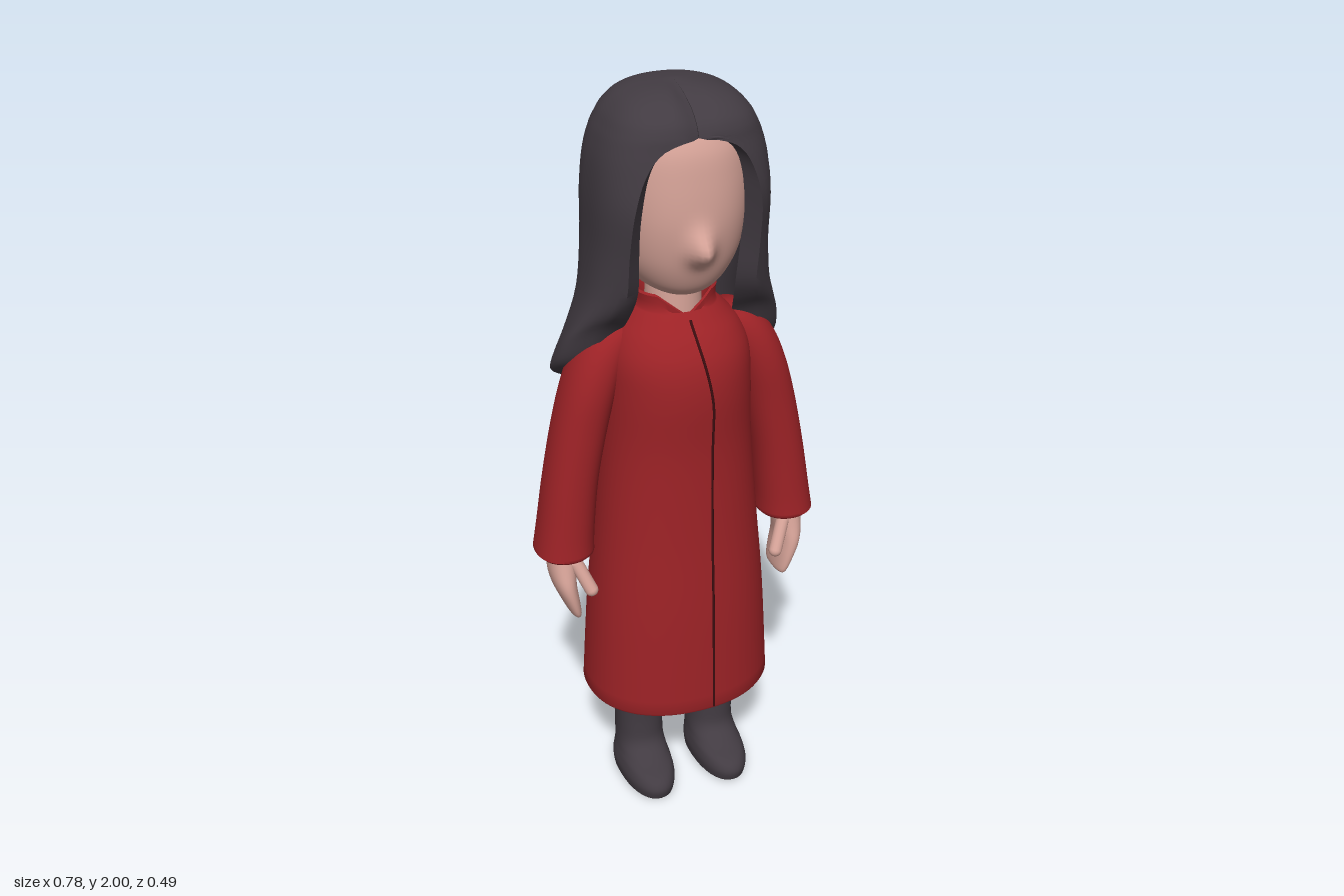
import * as THREE from 'three';
import { toCreasedNormals } from 'three/addons/utils/BufferGeometryUtils.js';

// Point on a rounded cross-section; a = 0 faces the front, then turns towards +x.
function ringPoint(a, rx, zc, zf, zb, nFront = 2.2, nBack = 2.2) {
  const s = Math.sin(a), c = Math.cos(a), n = c > 0 ? nFront : nBack;
  const r = Math.pow(Math.abs(s) ** n + Math.abs(c) ** n, -1 / n);
  return [rx * r * s, zc + r * c * (c > 0 ? zf - zc : zc - zb)];
}

// Refine a table of cross-section values with a Catmull-Rom spline.
function smooth(rows, steps = 5) {
  const out = [];
  for (let i = 0; i < rows.length - 1; i++) {
    const p = rows[Math.max(i - 1, 0)], q = rows[i], r = rows[i + 1], s = rows[Math.min(i + 2, rows.length - 1)];
    for (let k = 0; k < steps; k++) {
      const t = k / steps;
      out.push(q.map((v, j) => {
        const c1 = r[j] - p[j];
        const c2 = 2 * p[j] - 5 * v + 4 * r[j] - s[j];
        const c3 = 3 * (v - r[j]) + s[j] - p[j];
        return v + 0.5 * t * (c1 + t * (c2 + t * c3));
      }));
    }
  }
  out.push(rows[rows.length - 1]);
  return out;
}

// Skin closed loops of points, listed from bottom to top.
function loft(loops, capBottom = true, capTop = true, crease = 0.9) {
  const n = loops[0].length, pos = loops.flat(2), idx = [];
  for (let i = 0; i < loops.length - 1; i++) {
    for (let j = 0; j < n; j++) {
      const a = i * n + j, b = i * n + (j + 1) % n;
      idx.push(a, b, a + n, b, b + n, a + n);
    }
  }
  const cap = (i, flip) => {
    const c = pos.length / 3;
    for (let k = 0; k < 3; k++) pos.push(loops[i].reduce((sum, p) => sum + p[k], 0) / n);
    for (let j = 0; j < n; j++) {
      const a = i * n + j, b = i * n + (j + 1) % n;
      idx.push(c, flip ? b : a, flip ? a : b);
    }
  };
  if (capBottom) cap(0, true);
  if (capTop) cap(loops.length - 1, false);
  const g = new THREE.BufferGeometry();
  g.setAttribute('position', new THREE.Float32BufferAttribute(pos, 3));
  g.setIndex(idx);
  // Enlarged while creasing, so that close vertices stay distinct
  return toCreasedNormals(g.scale(100, 100, 100), crease).scale(0.01, 0.01, 0.01);
}

// Rows are [y, centre x, half width, centre z, front z, back z].
function body(rows, side = 1, n = 40, shape = (p) => p) {
  return rows.map(([y, xc, rx, zc, zf, zb]) => Array.from({ length: n }, (_, j) => {
    const [x, z] = ringPoint((j / n) * Math.PI * 2, rx, zc, zf, zb);
    return shape([x + xc * side, y, z]);
  }));
}

export function createModel() {
  const model = new THREE.Group();
  model.name = 'womanInCoat';
  const material = (name, color) => Object.assign(new THREE.MeshStandardMaterial({ color }), { name });
  const skin = material('skin', 0xd6a398);
  const red = material('coatRed', 0x9c2226);
  const seamRed = material('seamDarkRed', 0x3c0d10);
  const charcoal = material('charcoal', 0x423b42);
  const add = (name, geometry, mat) => {
    const m = new THREE.Mesh(geometry, mat);
    m.name = name;
    model.add(m);
    return m;
  };

  // Head with a soft nose
  const headRows = smooth([
    [1.492, 0, 0.02, 0.06, 0.09, 0.04], [1.51, 0, 0.075, 0.03, 0.13, -0.04],
    [1.545, 0, 0.12, 0.01, 0.158, -0.1], [1.61, 0, 0.156, 0, 0.182, -0.14],
    [1.7, 0, 0.172, 0, 0.196, -0.16], [1.8, 0, 0.175, 0, 0.192, -0.16],
    [1.88, 0, 0.162, 0, 0.178, -0.14], [1.93, 0, 0.125, 0, 0.14, -0.1], [1.955, 0, 0.03, 0, 0.04, -0.03],
  ], 7);
  const noseBump = ([x, y, z]) => {
    const dy = y - 1.64, spread = dy > 0 ? 0.045 : 0.032;
    const bump = Math.exp(-((x / 0.03) ** 2 + (dy / spread) ** 2));
    return [x, y, z > 0 ? z + 0.052 * bump : z];
  };
  add('head', loft(body(headRows, 1, 88, noseBump), true, true, 1.5), skin);
  const neck = add('neck', new THREE.CylinderGeometry(0.066, 0.075, 0.2, 32), skin);
  neck.position.set(0, 1.47, 0.005);

  // Hair: a shell open around the face, with a tilted hem.
  // Rows are [y, tilt, half width, centre z, front z, back z, half opening, inner scale].
  const hairRows = smooth([
    [1.25, 0.6, 0.265, -0.065, 0.03, -0.215, 0.2, 0.97],
    [1.275, 0.64, 0.297, -0.065, 0.06, -0.243, 0.21, 0.72],
    [1.33, 0.72, 0.29, -0.05, 0.09, -0.24, 0.2, 0.72],
    [1.4, 0.5, 0.265, -0.03, 0.13, -0.227, 0.18, 0.74],
    [1.5, 0.2, 0.236, 0, 0.16, -0.214, 0.165, 0.76],
    [1.62, 0.05, 0.223, 0, 0.187, -0.214, 0.164, 0.78],
    [1.74, 0, 0.22, 0, 0.208, -0.215, 0.157, 0.8],
    [1.83, 0, 0.211, 0, 0.197, -0.205, 0.13, 0.82],
    [1.885, 0, 0.197, 0, 0.188, -0.19, 0.085, 0.83],
    [1.915, 0, 0.184, 0, 0.183, -0.177, 0, 0.83],
    [1.945, 0, 0.166, 0, 0.168, -0.158, 0, 0.8],
    [1.975, 0, 0.133, 0, 0.13, -0.125, 0, 0.75],
    [1.994, 0, 0.08, 0, 0.075, -0.075, 0, 0.7],
    [2.0, 0, 0.008, 0, 0.008, -0.008, 0, 0.6],
  ], 4);
  const hairLoops = hairRows.map(([y, tilt, rx, zc, zf, zb, w, inner]) => {
    const n = 56, u = Math.max(w, 0) / rx, a0 = Math.atan2(u, Math.cbrt(1 - u ** 3)) + 0.004;
    const point = (j, scale) => {
      const a = a0 + (j / n) * 2 * (Math.PI - a0);
      const [x, z] = ringPoint(a, rx * scale, zc, zc + (zf - zc) * scale, zc + (zb - zc) * scale, 3, 2.2);
      const part = w > 0.02 ? 0 : Math.exp(-((x / 0.025) ** 2)) * THREE.MathUtils.clamp(z / 0.1, 0, 1);
      return [x, y + tilt * (z - zc) - 0.01 * part, z - 0.014 * part];
    };
    const outer = Array.from({ length: n + 1 }, (_, j) => point(j, 1));
    const lining = Array.from({ length: n + 1 }, (_, j) => point(n - j, inner));
    return [...outer, ...lining];
  });
  add('hair', loft(hairLoops, false, true, 1.1), charcoal);

  // Coat: lining and hem, then the outer shell up to the stand collar
  const shell = smooth([
    [0.318, 0, 0.26, 0.02, 0.235, -0.185], [0.6, 0, 0.242, 0.02, 0.224, -0.17],
    [0.85, 0, 0.218, 0.02, 0.207, -0.15], [1.08, 0, 0.197, 0.02, 0.199, -0.133],
    [1.24, 0, 0.19, 0.02, 0.205, -0.13], [1.33, 0, 0.184, 0.02, 0.194, -0.13],
    [1.39, 0, 0.164, 0.01, 0.165, -0.125], [1.43, 0, 0.13, 0.01, 0.13, -0.11],
    [1.452, 0, 0.104, 0.01, 0.108, -0.09],
  ]);
  const coatRows = [
    [0.6, 0, 0.2, 0.02, 0.17, -0.12], [0.325, 0, 0.244, 0.02, 0.218, -0.168],
    [0.31, 0, 0.25, 0.02, 0.226, -0.176], [0.311, 0, 0.256, 0.02, 0.232, -0.182],
    ...shell,
    [1.475, 0, 0.103, 0.01, 0.104, -0.082], [1.492, 0, 0.106, 0.01, 0.104, -0.08],
    [1.496, 0, 0.1, 0.01, 0.099, -0.075], [1.49, 0, 0.094, 0.01, 0.094, -0.07],
    [1.42, 0, 0.08, 0.01, 0.08, -0.06],
  ];
  const collarNotch = ([x, y, z]) =>
    [x, y - (y > 1.46 && z > 0 ? 0.055 * Math.max(0, 1 - Math.abs(x) / 0.07) : 0), z];
  add('coat', loft(body(coatRows, 1, 72, collarNotch), true, false), red);

  // Front closing line, curving in towards the collar
  const seam = shell.filter(([y]) => y < 1.44).map(([y, , rx, zc, zf]) => {
    const x = 0.034 * (1 - THREE.MathUtils.smoothstep(y, 1.2, 1.45));
    const z = zc + (zf - zc) * Math.pow(1 - (x / rx) ** 2.2, 1 / 2.2);
    return new THREE.Vector3(x, y, z);
  });
  add('coatSeam', new THREE.TubeGeometry(new THREE.CatmullRomCurve3(seam), 90, 0.0035, 6), seamRed);

  // Arms and legs
  for (const [label, side] of [['left', 1], ['right', -1]]) {
    const sleeve = [
      [0.86, 0.3, 0.05, 0.022, 0.085, -0.04], [0.8, 0.313, 0.064, 0.022, 0.095, -0.05],
      [0.786, 0.313, 0.07, 0.022, 0.103, -0.059],
      ...smooth([
        [0.795, 0.313, 0.078, 0.022, 0.112, -0.067], [0.86, 0.306, 0.074, 0.022, 0.107, -0.064],
        [1.0, 0.287, 0.07, 0.02, 0.102, -0.064], [1.14, 0.259, 0.07, 0.018, 0.1, -0.066],
        [1.25, 0.23, 0.07, 0.015, 0.1, -0.069], [1.33, 0.2, 0.068, 0.01, 0.09, -0.07],
        [1.385, 0.17, 0.058, 0.005, 0.07, -0.06], [1.415, 0.145, 0.035, 0, 0.04, -0.035],
      ]),
    ];
    add(label + 'Sleeve', loft(body(sleeve, side)), red);

    const hand = smooth([
      [0.597, 0.296, 0.008, 0.036, 0.075, -0.005], [0.607, 0.298, 0.016, 0.036, 0.092, -0.02],
      [0.65, 0.31, 0.024, 0.036, 0.1, -0.029], [0.7, 0.322, 0.031, 0.035, 0.1, -0.03],
      [0.75, 0.323, 0.037, 0.03, 0.088, -0.027], [0.83, 0.315, 0.04, 0.025, 0.068, -0.02],
    ], 4);
    add(label + 'Hand', loft(body(hand, side, 32)), skin);
    const from = new THREE.Vector3(0.295 * side, 0.765, 0.072), to = new THREE.Vector3(0.264 * side, 0.692, 0.1);
    const thumb = add(label + 'Thumb', new THREE.CapsuleGeometry(0.018, from.distanceTo(to), 6, 16), skin);
    thumb.position.copy(from).lerp(to, 0.5);
    thumb.quaternion.setFromUnitVectors(new THREE.Vector3(0, 1, 0), from.clone().sub(to).normalize());

    const leg = [
      [0, 0.11, 0.066, 0.04, 0.195, -0.06],
      ...smooth([
        [0.006, 0.11, 0.073, 0.04, 0.206, -0.066], [0.035, 0.11, 0.076, 0.04, 0.211, -0.068],
        [0.06, 0.109, 0.072, 0.035, 0.192, -0.067], [0.08, 0.108, 0.068, 0.025, 0.138, -0.066],
        [0.11, 0.107, 0.066, 0.012, 0.094, -0.065], [0.17, 0.107, 0.066, 0.01, 0.085, -0.065],
        [0.31, 0.107, 0.07, 0.01, 0.088, -0.067], [0.62, 0.107, 0.073, 0.01, 0.09, -0.07],
      ]),
    ];
    add(label + 'LegAndBoot', loft(body(leg, side)), charcoal);
  }
  return model;
}
